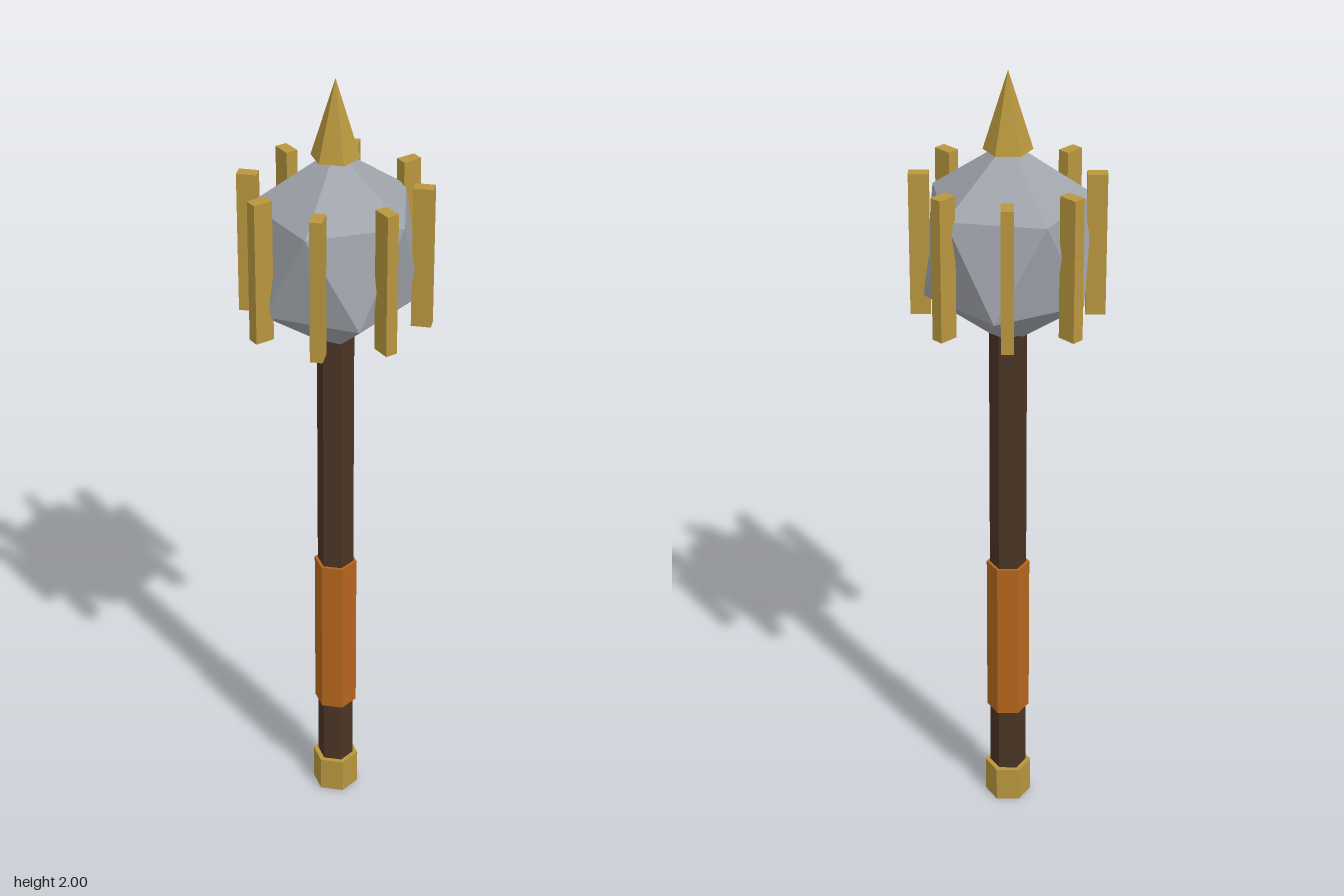
import * as THREE from 'three';

const material = (name, color) => {
  const m = new THREE.MeshStandardMaterial({ color, flatShading: true });
  m.name = name;
  return m;
};

// Five-sided faceted ball: two staggered rings between two poles
function facetedHead(radius, ringHeight, poleHeight) {
  const ring = (offset, y) => Array.from({ length: 5 }, (_, i) => {
    const a = ((i + offset) * Math.PI * 2) / 5;
    return new THREE.Vector3(Math.cos(a) * radius, y, Math.sin(a) * radius);
  });
  const upper = ring(0, ringHeight);
  const lower = ring(0.5, -ringHeight);
  const top = new THREE.Vector3(0, poleHeight, 0);
  const bottom = new THREE.Vector3(0, -poleHeight, 0);
  const points = [];
  for (let i = 0; i < 5; i++) {
    const j = (i + 1) % 5;
    points.push(
      top, upper[j], upper[i],
      upper[i], upper[j], lower[i],
      lower[i], upper[j], lower[j],
      bottom, lower[i], lower[j],
    );
  }
  const geometry = new THREE.BufferGeometry().setFromPoints(points);
  geometry.computeVertexNormals();
  return geometry;
}

export function createModel() {
  const model = new THREE.Group();
  model.name = 'mace';

  const wood = material('dark wood', 0x4a3424);
  const leather = material('leather', 0xb5651d);
  const brass = material('brass', 0xb8963e);
  const steel = material('steel', 0xa0a4ab);

  const add = (name, geometry, mat, y, parent = model) => {
    const mesh = new THREE.Mesh(geometry, mat);
    mesh.name = name;
    mesh.position.y = y;
    parent.add(mesh);
    return mesh;
  };

  // Six-sided parts stacked along the handle, all turned the same way
  const hexPart = (name, mat, radius, y0, y1, topRadius = radius) =>
    add(name, new THREE.CylinderGeometry(topRadius, radius, y1 - y0, 6, 1, false, Math.PI / 4),
      mat, (y0 + y1) / 2);

  hexPart('pommel', brass, 0.0585, 0, 0.093);
  hexPart('shaft', wood, 0.0455, 0.05, 1.4);
  hexPart('grip', leather, 0.0535, 0.27, 0.702);
  hexPart('spike', brass, 0.0585, 1.809, 2, 0);

  // Head
  add('head', facetedHead(0.2, 0.1165, 0.26), steel, 1.57);

  // Eight upright flanges around the head
  const flanges = new THREE.Group();
  flanges.name = 'flanges';
  model.add(flanges);
  const flangeShape = new THREE.BoxGeometry(0.048, 0.355, 0.03);
  for (let i = 0; i < 8; i++) {
    const a = (i * Math.PI) / 4;
    const flange = add('flange', flangeShape, brass, 1.5735, flanges);
    flange.position.x = Math.cos(a) * 0.207;
    flange.position.z = -Math.sin(a) * 0.207;
    flange.rotation.y = a;
  }

  return model;
}
